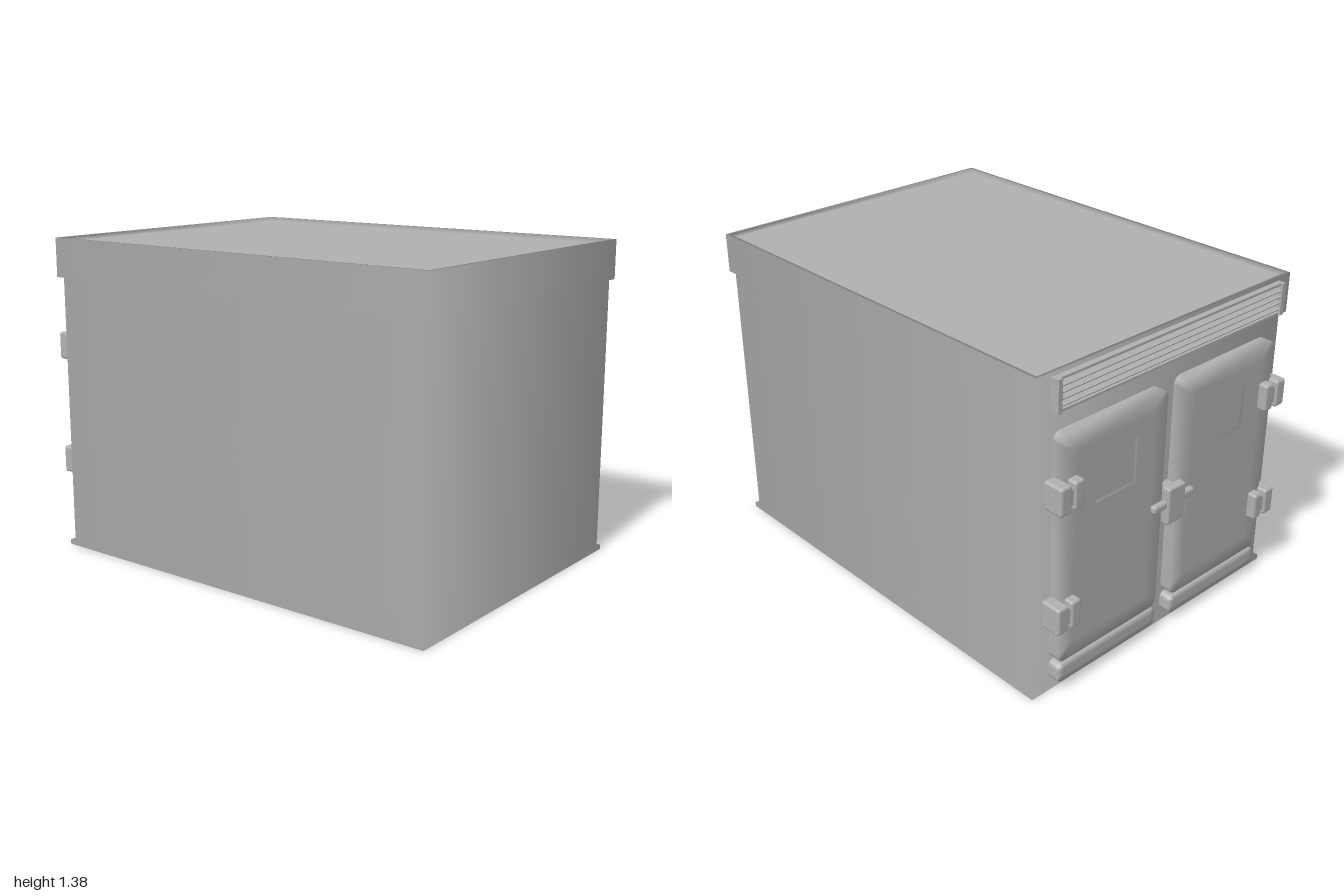
import * as THREE from 'three';
import { RoundedBoxGeometry } from 'three/addons/geometries/RoundedBoxGeometry.js';

export function createModel() {
  const model = new THREE.Group();
  model.name = 'equipmentShelter';
  const material = new THREE.MeshStandardMaterial({ color: 0xb0b0b0 });
  const thinMaterial = new THREE.MeshStandardMaterial({ color: 0xb0b0b0, side: THREE.DoubleSide });

  function add(name, geometry, parent = model, mat = material) {
    const mesh = new THREE.Mesh(geometry, mat);
    mesh.name = name;
    parent.add(mesh);
    return mesh;
  }
  // Box given by its extents on each axis; a radius rounds the edges
  function block(name, [x0, x1], [y0, y1], [z0, z1], radius = 0, parent = model) {
    const w = x1 - x0, h = y1 - y0, d = z1 - z0;
    const geometry = radius ? new RoundedBoxGeometry(w, h, d, 3, radius) : new THREE.BoxGeometry(w, h, d);
    const mesh = add(name, geometry, parent);
    mesh.position.set((x0 + x1) / 2, (y0 + y1) / 2, (z0 + z1) / 2);
    return mesh;
  }
  function roundedRect([x0, x1], [y0, y1], r) {
    const shape = new THREE.Shape();
    shape.absarc(x1 - r, y1 - r, r, 0, Math.PI / 2);
    shape.absarc(x0 + r, y1 - r, r, Math.PI / 2, Math.PI);
    shape.absarc(x0 + r, y0 + r, r, Math.PI, Math.PI * 1.5);
    shape.absarc(x1 - r, y0 + r, r, Math.PI * 1.5, Math.PI * 2);
    return shape;
  }
  // Slab on the back wall: softly shaded rim around a flat face, which may have a window
  function slab(name, [x0, x1], [y0, y1], r, inset, parent, hole) {
    const outer = roundedRect([x0, x1], [y0, y1], r);
    const inner = roundedRect([x0 + inset, x1 - inset], [y0 + inset, y1 - inset], 0.012);
    const positions = [], index = [];
    [[outer, -0.905], [outer, -0.955], [inner, -0.957]].forEach(([shape, z], ring) => {
      const points = shape.getPoints(4), n = points.length;
      points.forEach((p, i) => {
        positions.push(p.x, p.y, z);
        if (ring === 2) return;
        const a = ring * n + i, b = ring * n + (i + 1) % n;
        index.push(a, a + n, b, b, a + n, b + n);
      });
    });
    const rim = new THREE.BufferGeometry();
    rim.setAttribute('position', new THREE.Float32BufferAttribute(positions, 3));
    rim.setIndex(index);
    rim.computeVertexNormals();
    add(name + 'Rim', rim, parent);
    if (hole) {
      const [[a, b], [c, d]] = hole;
      inner.holes.push(new THREE.Path([[a, c], [a, d], [b, d], [b, c]].map(p => new THREE.Vector2(...p))));
    }
    add(name, new THREE.ShapeGeometry(inner, 4), parent, thinMaterial).position.z = -0.957;
  }

  // Hollow shell, open below: flange, walls, roof band, lip and sunken roof.
  // Each ring: half width, front z, back z, height, direction of the normals
  const rings = [
    [0.69, 0.985, -0.905, 0, 1], [0.705, 0.995, -0.92, 0, 1], [0.705, 0.995, -0.92, 0.02, 1],
    [0.69, 0.985, -0.905, 0.02, 1], [0.69, 0.985, -0.905, 1.21, 1], [0.71, 1, -0.925, 1.21, 1],
    [0.71, 1, -0.925, 1.38, 1], [0.695, 0.985, -0.91, 1.38, -1], [0.695, 0.985, -0.91, 1.36, 0],
  ];
  const corners = [[1, 1], [1, -1], [-1, -1], [-1, 1]];
  const positions = [], normals = [], index = [];
  const last = rings.length - 1;
  rings.forEach(([w, front, back, y, out], r) => {
    corners.forEach(([sx, sz], i) => {
      positions.push(sx * w, y, sz > 0 ? front : back);
      if (out === 0) normals.push(0, 1, 0);
      else normals.push(sx * out * 0.8, 0, sz * out * 0.6);
      if (r < last) {
        const a = r * 4 + i, b = r * 4 + (i + 1) % 4;
        index.push(a, b, a + 4, b, b + 4, a + 4);
      }
    });
  });
  const top = last * 4;
  index.push(top, top + 1, top + 2, top, top + 2, top + 3);
  const shell = new THREE.BufferGeometry();
  shell.setAttribute('position', new THREE.Float32BufferAttribute(positions, 3));
  shell.setAttribute('normal', new THREE.Float32BufferAttribute(normals, 3));
  shell.setIndex(index);
  add('shell', shell, model, thinMaterial);

  // Louvred vent across the back of the roof
  const vent = new THREE.Group();
  vent.name = 'vent';
  model.add(vent);
  block('ventTop', [-0.635, 0.635], [1.355, 1.365], [-0.95, -0.925], 0, vent);
  block('ventBottom', [-0.635, 0.635], [1.23, 1.24], [-0.95, -0.925], 0, vent);
  for (const x of [-0.627, 0.627]) {
    block('ventEnd', [x - 0.01, x + 0.01], [1.23, 1.365], [-0.96, -0.925], 0, vent);
  }
  for (let i = 0; i < 4; i++) {
    const y = 1.262 + i * 0.026;
    const slat = block('ventSlat', [-0.62, 0.62], [y - 0.003, y + 0.003], [-0.957, -0.925], 0, vent);
    slat.rotation.x = -0.5;
  }

  // Pair of doors with recessed panes, kick panels and hinges
  for (const side of [-1, 1]) {
    const door = new THREE.Group();
    door.name = side > 0 ? 'leftDoor' : 'rightDoor';
    model.add(door);
    const span = (a, b) => (side > 0 ? [a, b] : [-b, -a]);
    const paneX = span(0.21, 0.43), paneY = [0.79, 0.985];
    slab('doorPanel', span(0.045, 0.605), [0.14, 1.13], 0.035, 0.07, door, [paneX, paneY]);
    block('doorPane', paneX, paneY, [-0.947, -0.91], 0, door);
    slab('kickPanel', span(0.045, 0.605), [0.045, 0.13], 0.025, 0.025, door);
    for (const y of [0.375, 0.895]) {
      block('hingeLeaf', span(0.528, 0.58), [y - 0.06, y + 0.06], [-0.998, -0.95], 0.012, door);
      block('hingePin', span(0.57, 0.61), [y - 0.04, y + 0.04], [-0.99, -0.945], 0.012, door);
      block('hingeKnuckle', span(0.595, 0.652), [y - 0.06, y + 0.06], [-1, -0.905], 0.012, door);
    }
  }

  // Central latch with a handle bar to either side
  block('latch', [-0.05, 0.05], [0.54, 0.705], [-0.997, -0.957], 0.01);
  block('latchBase', [-0.04, 0.04], [0.57, 0.68], [-0.965, -0.907]);
  block('latchHandle', [-0.12, 0.12], [0.612, 0.648], [-0.987, -0.957], 0.012);

  return model;
}
